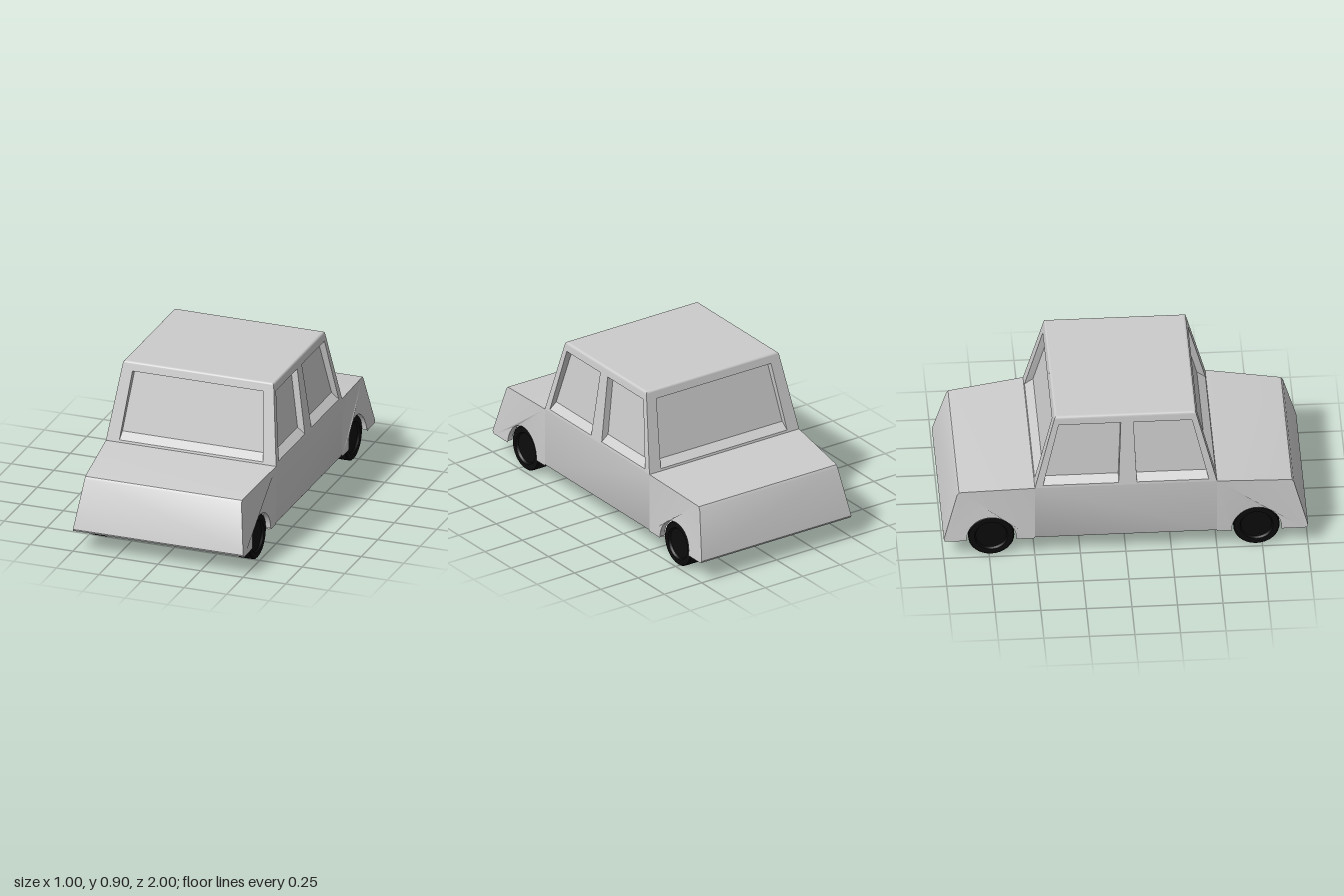
import * as THREE from 'three';
import { toCreasedNormals } from 'three/addons/utils/BufferGeometryUtils.js';

const paint = new THREE.MeshStandardMaterial({ color: 0xcccccc, side: THREE.DoubleSide });
const rubber = new THREE.MeshStandardMaterial({ color: 0x0c0c0c });

const BELT = 0.46, EAVE = 0.885, ROOF = 0.9, BASE = 0.115;
const clamp = THREE.MathUtils.clamp;
const v2 = (p) => new THREE.Vector2(p[0], p[1]);

function add(parent, name, geometry, material = paint) {
  const mesh = new THREE.Mesh(geometry, material);
  mesh.name = name;
  parent.add(mesh);
  return mesh;
}

// Skin between successive rows of points [x, y, z]
function loft(rows, closed = false) {
  const pos = [];
  for (let i = 0; i < rows.length - 1; i++) {
    const a = rows[i], b = rows[i + 1], n = a.length;
    for (let j = 0; j < (closed ? n : n - 1); j++) {
      const k = (j + 1) % n;
      pos.push(...a[j], ...a[k], ...b[k], ...a[j], ...b[k], ...b[j]);
    }
  }
  const g = new THREE.BufferGeometry();
  g.setAttribute('position', new THREE.Float32BufferAttribute(pos, 3));
  return toCreasedNormals(g, 0.6);
}

// Flat outline with holes, placed in space by map(u, v) -> [x, y, z]
function sheet(shape, map) {
  const g = new THREE.ShapeGeometry(shape, 20);
  const p = g.attributes.position;
  for (let i = 0; i < p.count; i++) p.setXYZ(i, ...map(p.getX(i), p.getY(i)));
  g.computeVertexNormals();
  return g;
}

// Half width of the lower body: the fenders taper in towards the top of each end
function halfWidth(z, y) {
  return 0.5 - 0.04 * clamp((Math.abs(z) - 0.5) / 0.42, 0, 1) * clamp((y - 0.13) / 0.28, 0, 1);
}

// Bonnet / boot profile [z, y] from the belt line down to the bottom lip
const endProfile = [[0.5, BELT], [0.9, 0.421], [0.914, 0.418], [0.924, 0.405],
  [0.996, 0.145], [1, 0.13], [0.995, 0.119], [0.98, BASE]];

// One end of the body, s = 1 for the front and -1 for the back
function buildEnd(parent, s, archZ) {
  const name = s > 0 ? 'front' : 'rear';
  const rows = endProfile.map(([z, y]) => {
    const w = halfWidth(z, y);
    return [[-w, y, s * z], [w, y, s * z]];
  });
  add(parent, s > 0 ? 'bonnetAndNose' : 'bootAndTail', loft(rows));

  // Inward lip under the nose
  add(parent, name + 'Lip', loft([[[-0.5, BASE, s * 0.98], [0.5, BASE, s * 0.98]],
    [[-0.49, BASE + 0.004, s * 0.955], [0.49, BASE + 0.004, s * 0.955]]]));

  // Fenders with wheel arches
  const shape = new THREE.Shape(endProfile.map(v2));
  shape.lineTo(archZ + 0.137, BASE);
  shape.absarc(archZ, 0.123, 0.137, 0, Math.PI, false);
  shape.lineTo(archZ - 0.137, BASE);
  shape.lineTo(0.5, BASE);
  shape.closePath();
  for (const side of [1, -1]) {
    add(parent, name + (side > 0 ? 'LeftFender' : 'RightFender'),
      sheet(shape, (z, y) => [side * halfWidth(z, y), y, s * z]));
    // Narrow rolled edge of the arch
    const edge = [0, 0.03].map((d) => Array.from({ length: 21 }, (_, i) => {
      const a = Math.PI * i / 20;
      const z = archZ + 0.137 * Math.cos(a), y = 0.123 + 0.137 * Math.sin(a);
      return [side * (halfWidth(z, y) - d), y, s * z];
    }));
    add(parent, name + 'ArchEdge', loft(edge));
  }
}

// A cabin wall: frame with openings, sloping reveals and recessed panes.
// Corners of each opening go bottom, bottom, top, top.
function buildWall(parent, name, halfBase, halfTop, windows, map) {
  const shape = new THREE.Shape([[-halfBase, BELT], [halfBase, BELT],
    [halfTop, EAVE], [-halfTop, EAVE]].map(v2));
  for (const w of windows) shape.holes.push(new THREE.Path(w.map(v2)));
  add(parent, name + 'Frame', sheet(shape, (u, y) => map(u, y, 0)));
  for (const w of windows) {
    const outer = w.map(([u, y]) => map(u, y, 0));
    const inner = w.map(([u, y], i) => map(u, i < 2 ? y + 0.035 : y - 0.003, 0.038));
    add(parent, name + 'WindowReveal', loft([outer, inner], true));
    add(parent, name + 'Pane', loft([[inner[0], inner[1]], [inner[3], inner[2]]]));
  }
}

function buildCabin(parent) {
  const lean = (y) => (y - BELT) / (EAVE - BELT);
  const xAt = (y) => 0.5 - 0.057 * lean(y);
  const zAt = (y) => 0.5 - 0.11 * lean(y);
  const screen = [[[-0.422, 0.473], [0.422, 0.473], [0.383, 0.85], [-0.383, 0.85]]];
  const sideWindows = [
    [[0.06, 0.475], [0.455, 0.475], [0.366, 0.85], [0.045, 0.85]],
    [[-0.455, 0.475], [-0.04, 0.475], [-0.025, 0.85], [-0.366, 0.85]],
  ];
  for (const s of [1, -1]) {
    buildWall(parent, s > 0 ? 'windscreen' : 'rearWindow', 0.5, 0.443, screen,
      (u, y, d) => [u, y, s * (zAt(y) - d)]);
    buildWall(parent, s > 0 ? 'leftSide' : 'rightSide', 0.5, 0.39, sideWindows,
      (u, y, d) => [s * (xAt(y) - d), y, u]);
  }

  // Roof with rounded edge
  const r = ROOF - EAVE;
  const ring = (o, y) => [[-1, 1], [1, 1], [1, -1], [-1, -1]]
    .map(([a, b]) => [a * (0.443 - o), y, b * (0.39 - o)]);
  const rows = Array.from({ length: 6 }, (_, i) => {
    const a = Math.PI / 2 * i / 5;
    return ring(r * (1 - Math.cos(a)), EAVE + r * Math.sin(a));
  });
  add(parent, 'roofEdge', loft(rows, true));
  const top = rows[5];
  add(parent, 'roof', loft([[top[0], top[1]], [top[3], top[2]]]));
}

// Tyre with a shallow dished hub on both faces
function wheelGeometry() {
  const h = 0.045;
  const profile = [[0, -h + 0.012], [0.085, -h + 0.012], [0.092, -h], [0.122, -h], [0.127, -h + 0.005],
    [0.127, h - 0.005], [0.122, h], [0.092, h], [0.085, h - 0.012], [0, h - 0.012]];
  const g = new THREE.LatheGeometry(profile.map(v2), 32);
  g.rotateZ(-Math.PI / 2);
  return toCreasedNormals(g, 0.5);
}

export function createModel() {
  const car = new THREE.Group();
  car.name = 'car';

  const body = new THREE.Group();
  body.name = 'body';
  car.add(body);
  const frontZ = 0.718, rearZ = -0.738;
  buildEnd(body, 1, frontZ);
  buildEnd(body, -1, -rearZ);

  // Doors between the fenders, with a small rounded sill, and the floor
  for (const s of [1, -1]) {
    const section = [[0.5, BELT], [0.5, 0.128], [0.496, 0.119], [0.488, BASE]];
    add(body, s > 0 ? 'leftDoors' : 'rightDoors',
      loft(section.map(([x, y]) => [[s * x, y, -0.5], [s * x, y, 0.5]])));
  }
  add(body, 'floor', loft([[[-0.49, BASE, -0.6], [0.49, BASE, -0.6]],
    [[-0.49, BASE, 0.58], [0.49, BASE, 0.58]]]));

  const cabin = new THREE.Group();
  cabin.name = 'cabin';
  car.add(cabin);
  buildCabin(cabin);

  const wheel = wheelGeometry();
  for (const z of [frontZ, rearZ]) {
    for (const s of [1, -1]) {
      const name = (z > 0 ? 'front' : 'rear') + (s > 0 ? 'Left' : 'Right') + 'Wheel';
      add(car, name, wheel, rubber).position.set(s * 0.432, 0.127, z);
    }
  }
  return car;
}
